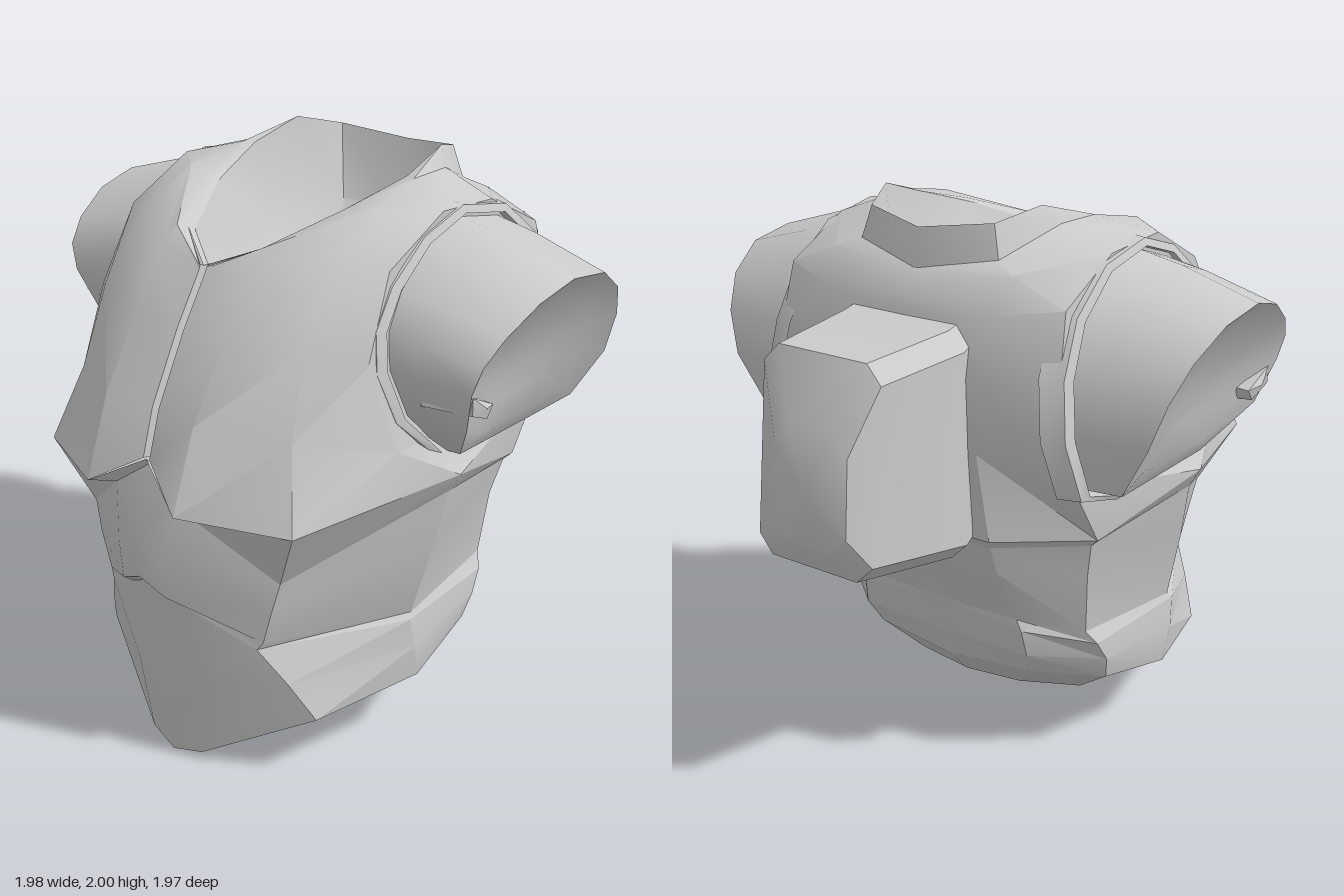
import * as THREE from 'three';
import { toCreasedNormals } from 'three/addons/utils/BufferGeometryUtils.js';

// Skin a stack of closed rings of [x, y, z] points, with mirrored diagonals on the right
function loft(name, rows, crease = 0.6) {
  const n = rows[0].length, idx = [];
  for (let i = 0; i < rows.length - 1; i++) {
    for (let j = 0; j < n; j++) {
      const k = (j + 1) % n, a = i * n + j, b = i * n + k;
      const right = rows[i][j][0] + rows[i][k][0] + rows[i + 1][j][0] + rows[i + 1][k][0] < 0;
      if (right) idx.push(a, b, a + n, b, b + n, a + n);
      else idx.push(a, b, b + n, a, b + n, a + n);
    }
  }
  const g = new THREE.BufferGeometry();
  g.setAttribute('position', new THREE.Float32BufferAttribute(rows.flat(2), 3));
  g.setIndex(idx);
  const mat = new THREE.MeshStandardMaterial({ color: 0xcccccc, side: THREE.DoubleSide });
  const mesh = new THREE.Mesh(toCreasedNormals(g, crease), mat);
  mesh.name = name;
  return mesh;
}

const flip = ([x, y, z]) => [-x, y, z];

// Full ring from its left half, running front centre -> side -> back centre
function ring(xs, ys, zs) {
  const half = xs.map((x, i) => [x, ys[i], zs[i]]);
  return [...half, ...half.slice(1, -1).reverse().map(flip)];
}

const point = (y, z) => Array.from({ length: 12 }, () => [0, y, z]);

// Press a narrow groove into the front centre of a ring
function groove(r) {
  const [x, y, z] = r[0];
  return [[x, y, z - 0.03], [0.014, y, z], ...r.slice(1), [-0.014, y, z]];
}

// Armhole outline as [z, y], from the front downwards and round the back
const ARM = [[.41, 1.45], [.36, 1.3], [.22, 1.14], [0, 1.12], [-.2, 1.12], [-.36, 1.17], [-.39, 1.35],
  [-.365, 1.5], [-.29, 1.62], [-.15, 1.71], [.04, 1.74], [.2, 1.7], [.33, 1.62], [.4, 1.54]];

// Armhole outline scaled about its middle; xAt gives x for each height
function armRing(xAt, wide, up, down) {
  return ARM.map(([z, y]) => {
    const h = 1.42 + (y - 1.42) * (y > 1.42 ? up : down);
    return [xAt(h), h, 0.02 + (z - 0.02) * wide];
  });
}

// Rectangle with cut corners, z leaning from top to bottom
function packRing(x0, x1, y0, y1, zTop, zBottom, c) {
  const pts = [[x0, y1 - c], [x0 + c, y1], [x1 - c, y1], [x1, y1 - c],
    [x1, y0 + c], [x1 - c, y0], [x0 + c, y0], [x0, y0 + c]];
  return pts.map(([x, y]) => [x, y, zBottom + (zTop - zBottom) * (y - y0) / (y1 - y0 || 1)]);
}

export function createModel() {
  const model = new THREE.Group();
  model.name = 'torsoArmour';

  // Belly plate and rounded underside
  const under = ring([0, .1, .3, .42, .4, .22, 0], [.06, .08, .14, .18, .21, .23, .22], [.62, .6, .48, .24, 0, -.13, -.15]);
  const bellyLow = ring([0, .12, .5, .6, .55, .33, 0], [0, .03, .25, .27, .33, .36, .35], [.85, .83, .66, .25, -.07, -.24, -.28]);
  const bellyMid = ring([0, .13, .43, .61, .57, .36, 0], [.35, .34, .39, .4, .42, .45, .45], [.9, .87, .72, .28, -.1, -.29, -.31]);
  const bellyTop = ring([0, .1, .35, .6, .56, .35, 0], [.71, .66, .52, .51, .5, .55, .56], [.92, .9, .78, .3, -.15, -.31, -.33]);
  model.add(loft('underside', [point(.17, .25), under, bellyLow]));
  model.add(loft('bellyPlate', [bellyLow, bellyMid, bellyTop], 0.3));

  // Abdomen plate with slanted edges
  const absLow = ring([0, .1, .37, .59, .53, .33, 0], [.74, .69, .55, .53, .55, .59, .6], [.96, .94, .77, .28, -.18, -.31, -.34]);
  const absMid = ring([0, .1, .41, .65, .55, .32, 0], [.86, .83, .68, .79, .78, .8, .8], [.96, .95, .77, .25, -.21, -.41, -.44]);
  const absTop = ring([0, .14, .44, .69, .58, .32, 0], [1.12, 1.02, .79, 1.0, .91, .91, .92], [.88, .91, .76, .22, -.24, -.45, -.47]);
  model.add(loft('abdomenPlate', [bellyTop, absLow, absMid, absTop], 0.45));

  // Breastplate, back and shoulders
  const chestEdge = ring([0, .2, .56, .73, .61, .33, 0], [1.14, 1.03, 1.02, 1.07, .94, .94, .95], [.9, .98, .83, .22, -.25, -.47, -.49]);
  const chestLow = ring([0, .2, .48, .65, .61, .3, 0], [1.3, 1.3, 1.28, 1.2, 1.17, 1.25, 1.25], [.85, .88, .74, .44, -.4, -.5, -.51]);
  const chestMid = ring([0, .2, .45, .6, .58, .3, 0], [1.53, 1.55, 1.55, 1.5, 1.5, 1.5, 1.5], [.73, .73, .65, .53, -.45, -.51, -.52]);
  const chestTop = ring([0, .2, .42, .57, .56, .32, 0], [1.69, 1.75, 1.79, 1.76, 1.74, 1.7, 1.67], [.63, .6, .47, .4, -.39, -.47, -.48]);
  const shoulder = ring([0, .19, .41, .57, .56, .36, 0], [1.705, 1.79, 1.9, 1.89, 1.87, 1.82, 1.74], [.623, .55, .27, .14, -.13, -.39, -.46]);
  const neckline = ring([0, .17, .3, .38, .37, .28, 0], [1.71, 1.78, 1.88, 1.94, 1.94, 1.85, 1.8], [.62, .52, .27, .05, -.13, -.35, -.42]);
  model.add(loft('chestLedge', [absTop, chestEdge]));
  model.add(loft('breastplate', [chestEdge, chestLow, chestMid, chestTop, shoulder, neckline].map(groove), 0.6));

  // Raised collar around a scooped neck
  const collarTop = ring([0, .16, .28, .34, .32, .25, 0], [1.71, 1.77, 1.87, 1.94, 2, 1.96, 1.93], [.6, .5, .26, .03, -.17, -.33, -.4]);
  const neckLow = ring([0, .13, .24, .29, .28, .2, 0], [1.56, 1.58, 1.62, 1.67, 1.7, 1.7, 1.7], [.53, .44, .25, 0, -.15, -.28, -.32]);
  const neckFloor = ring([0, .08, .16, .2, .18, .11, 0], [1.48, 1.48, 1.49, 1.52, 1.54, 1.56, 1.56], [.38, .32, .2, .04, -.09, -.17, -.19]);
  model.add(loft('neckCollar', [neckline, collarTop, neckLow, neckFloor, point(1.47, .12)], 0.75));

  // Sleeves and armhole trims on both sides
  const trimX = d => y => 0.575 + d + 0.1 * Math.pow((1.9 - y) / 0.78, 2);
  const cuffX = d => y => d + (y > 1.22 ? .82 + .327 * (y - 1.22) : .82 - 1.2 * (1.22 - y));
  const trim = [
    armRing(trimX(-.08), 1.27, 1.5, 1.06),
    armRing(trimX(0), 1.22, 1.47, 1.05),
    armRing(trimX(.01), 1.12, 1.39, 1.02),
    armRing(trimX(-.08), 1.07, 1.34, 1),
  ];
  const sleeve = [
    armRing(() => .5, 1.08, 1.38, 1),
    armRing(y => .68 + .1 * (y - 1.42), 1.04, 1.25, 1),
    armRing(cuffX(0), 1, 1, 1),
    armRing(cuffX(-.04), .75, .75, .75),
    armRing(cuffX(-.07), .35, .35, .35),
    armRing(cuffX(-.08), 0, 0, 0),
  ];
  // Small buckle at the front of each cuff
  const buckle = [
    [[.7, 1.36, .4], [.7, 1.32, .28], [.7, 1.38, .27], [.7, 1.44, .38]],
    [[.88, 1.37, .38], [.87, 1.33, .29], [.87, 1.37, .26], [.88, 1.43, .38]],
    [[.89, 1.38, .32], [.89, 1.38, .32], [.89, 1.38, .32], [.89, 1.38, .32]],
  ];
  const parts = { ArmholeTrim: trim, Sleeve: sleeve, SleeveBuckle: buckle };
  for (const [part, rows] of Object.entries(parts)) {
    model.add(loft('left' + part, rows));
    model.add(loft('right' + part, rows.map(r => r.map(flip).reverse())));
  }

  // Lopsided back pack
  model.add(loft('backPack', [
    packRing(-.26, .26, .93, 1.68, -.4, -.4, .05),
    packRing(-.27, .275, .87, 1.65, -.52, -.51, .06),
    packRing(-.2, .28, .915, 1.61, -.83, -.91, .06),
    packRing(-.15, .15, 1.02, 1.4, -.94, -.97, .06),
    packRing(0, 0, 1.2, 1.2, -.985, -.985, 0),
  ], 0.45));

  return model;
}
